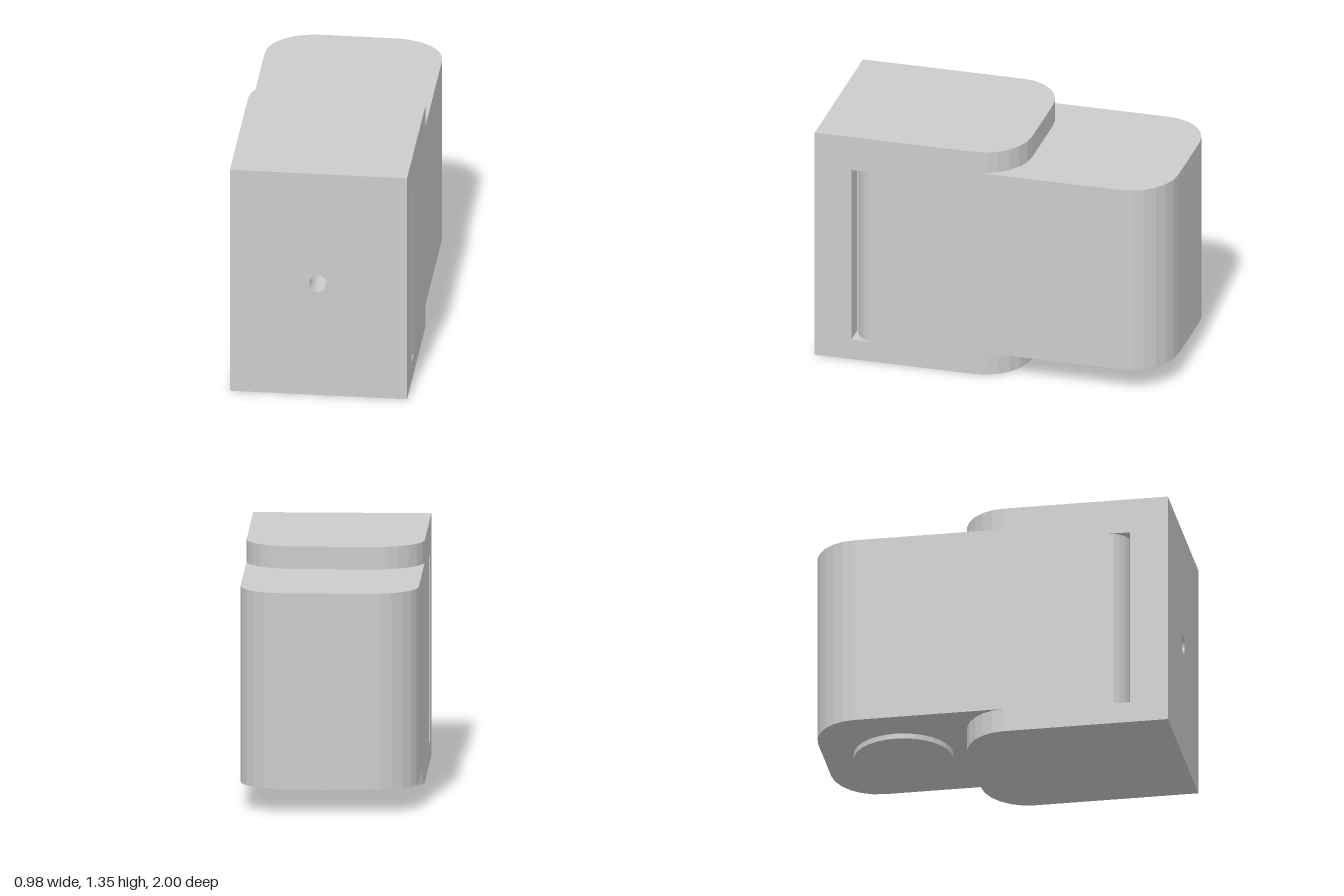
import * as THREE from 'three';

const W = 0.49, H = 1.35;            // half width, full height
const Y0 = 0.135, Y1 = 1.225;        // body floor and roof
const FRONT = 1, SPLIT = 0.08;       // front face, start of the rounded rear
const SLOT = { z0: 0.66, z1: 0.79, y0: 0.12, y1: 1.15 };
const HOLE = { y: 0.68, r: 0.05, depth: 0.22 };

const mat = new THREE.MeshStandardMaterial({ color: 0xcccccc, flatShading: true, side: THREE.DoubleSide });

// Plan outline [x, z] from the +x side round the back to the -x side
function rearOutline(back) {
  const rx = 0.28, rz = 0.25, n = 6, half = [];
  for (let i = 0; i <= n; i++) {
    const a = (i / n) * Math.PI / 2;
    half.push([W - rx + rx * Math.cos(a), back + rz - rz * Math.sin(a)]);
  }
  if (back + rz < SPLIT - 0.001) half.unshift([W, SPLIT]);
  return half.concat(half.map(([x, z]) => [-x, z]).reverse());
}

// Vertical wall along a plan path
function wall(path, y0, y1) {
  const pos = [];
  for (let i = 0; i < path.length - 1; i++) {
    const [ax, az] = path[i], [bx, bz] = path[i + 1];
    pos.push(ax, y0, az, bx, y0, bz, bx, y1, bz, ax, y0, az, bx, y1, bz, ax, y1, az);
  }
  const g = new THREE.BufferGeometry();
  g.setAttribute('position', new THREE.Float32BufferAttribute(pos, 3));
  g.computeVertexNormals();
  return g;
}

const shapeOf = (pts) => new THREE.Shape(pts.map(([x, y]) => new THREE.Vector2(x, y)));

// Horizontal face at height y, facing up or down
function cap(outline, y, up) {
  const s = up ? -1 : 1;
  return new THREE.ShapeGeometry(shapeOf(outline.map(([x, z]) => [x, s * z])))
    .rotateX(s * Math.PI / 2).translate(0, y, 0);
}

const rect = (x0, y0, x1, y1) => [[x0, y0], [x1, y0], [x1, y1], [x0, y1]];

export function createModel() {
  const model = new THREE.Group();
  const add = (name, ...geos) => {
    const group = new THREE.Group();
    group.name = name;
    geos.forEach((g) => {
      const m = new THREE.Mesh(g, mat);
      m.name = name;
      group.add(m);
    });
    model.add(group);
  };

  const housing = rearOutline(-0.165), body = rearOutline(-1);
  housing[0][1] = housing[housing.length - 1][1] = SPLIT;

  // Front housing: top and bottom plates with rounded rear lips
  const plate = [...housing, [-W, FRONT], [W, FRONT]];
  add('housingTop', cap(plate, H, true), wall(housing, Y1, H));
  add('housingBottom', cap(plate, 0, false), wall(housing, 0, Y0));

  // Rear body, running out between the two lips
  const ledge = [...body, ...housing.slice(1, -1).reverse()];
  add('rearBody', wall(body, Y0, Y1), cap(ledge, Y1, true), cap(ledge, Y0, false));

  // Side panels with a curved strap slot in each
  for (const side of [1, -1]) {
    const panel = shapeOf(rect(-side * SPLIT, 0, -side * FRONT, H));
    panel.holes.push(new THREE.Path(rect(-side * SLOT.z0, SLOT.y0, -side * SLOT.z1, SLOT.y1)
      .map(([x, y]) => new THREE.Vector2(x, y))));
    add(side > 0 ? 'leftPanel' : 'rightPanel',
      new THREE.ShapeGeometry(panel).rotateY(side * Math.PI / 2).translate(side * W, 0, 0));

    let notch = [[W, SLOT.z1], [W - 0.11, SLOT.z1]];
    for (let i = 5; i >= 0; i--) {
      const a = (i / 5) * Math.PI / 2;
      notch.push([W - 0.11 + 0.11 * Math.cos(a), SLOT.z0 + 0.115 * Math.sin(a)]);
    }
    if (side < 0) notch = notch.map(([x, z]) => [-x, z]).reverse();
    add(side > 0 ? 'leftSlot' : 'rightSlot', wall(notch, SLOT.y0, SLOT.y1),
      cap(notch, SLOT.y0, true), cap(notch, SLOT.y1, false));
  }

  // Front panel with a round bore
  const front = shapeOf(rect(-W, 0, W, H));
  front.holes.push(new THREE.Path().absarc(0, HOLE.y, HOLE.r, 0, Math.PI * 2, true));
  add('frontPanel', new THREE.ShapeGeometry(front, 12).translate(0, 0, FRONT));
  add('frontBore',
    new THREE.CylinderGeometry(HOLE.r, HOLE.r, HOLE.depth, 24, 1, true)
      .rotateX(Math.PI / 2).translate(0, HOLE.y, FRONT - HOLE.depth / 2),
    new THREE.CircleGeometry(HOLE.r, 24).translate(0, HOLE.y, FRONT - HOLE.depth));

  // Round foot under the rear body
  add('baseDisc', new THREE.CylinderGeometry(0.275, 0.275, 0.03, 32).translate(0, 0.12, -0.56));

  return model;
}
